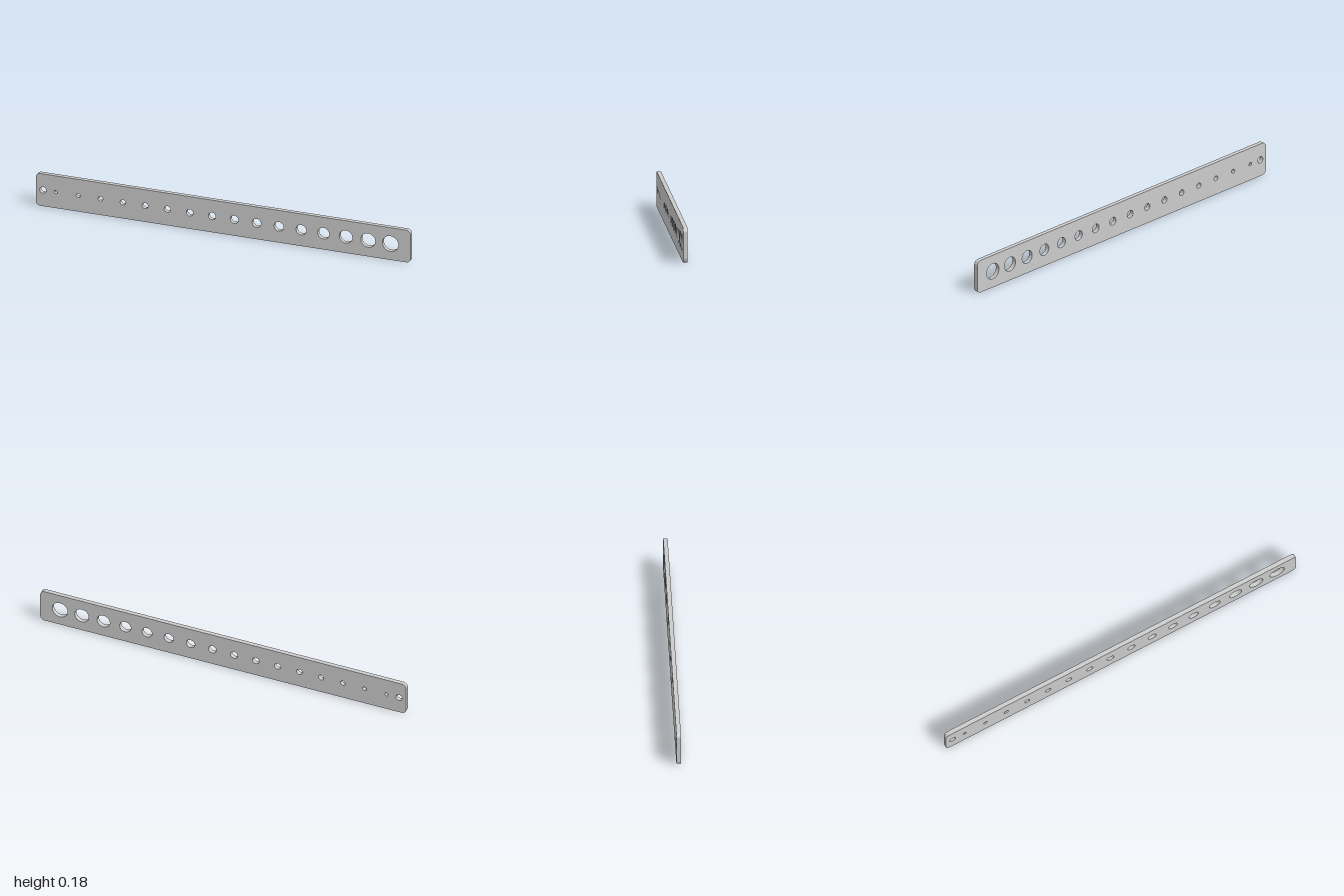
import * as THREE from 'three';
import { toCreasedNormals } from 'three/addons/utils/BufferGeometryUtils.js';

const HEIGHT = 0.178, DEPTH = 0.0225, CORNER = 0.024;

// Rounded bar outline standing on y = 0
function barOutline() {
  const s = new THREE.Shape(), r = CORNER, h = HEIGHT;
  s.moveTo(-1 + r, 0);
  s.lineTo(1 - r, 0);
  s.absarc(1 - r, r, r, -Math.PI / 2, 0);
  s.lineTo(1, h - r);
  s.absarc(1 - r, h - r, r, 0, Math.PI / 2);
  s.lineTo(-1 + r, h);
  s.absarc(-1 + r, h - r, r, Math.PI / 2, Math.PI);
  s.lineTo(-1, r);
  s.absarc(-1 + r, r, r, Math.PI, Math.PI * 1.5);
  return s;
}

function roundHole(x, radius) {
  return new THREE.Path().absarc(x, HEIGHT / 2, radius, 0, Math.PI * 2, true);
}

export function createModel() {
  const group = new THREE.Group();
  group.name = 'holeGauge';

  const shape = barOutline();

  // Hanging hole near the small end
  shape.holes.push(roundHole(-0.962, 0.0175));

  // Evenly spaced gauge holes, growing toward +x
  const radii = [0.009, 0.011, 0.013, 0.0145, 0.016, 0.0175, 0.0185, 0.02,
    0.0215, 0.0235, 0.0255, 0.0275, 0.031, 0.035, 0.0385, 0.0425];
  radii.forEach((r, i) => shape.holes.push(roundHole(-0.893 + i * 0.119, r)));

  const extruded = new THREE.ExtrudeGeometry(shape, { depth: DEPTH, bevelEnabled: false, curveSegments: 20 });
  extruded.translate(0, 0, -DEPTH / 2);

  const bar = new THREE.Mesh(
    toCreasedNormals(extruded, Math.PI / 6),
    new THREE.MeshStandardMaterial({ color: 0xcccccc })
  );
  bar.name = 'gaugeBar';
  group.add(bar);
  return group;
}
